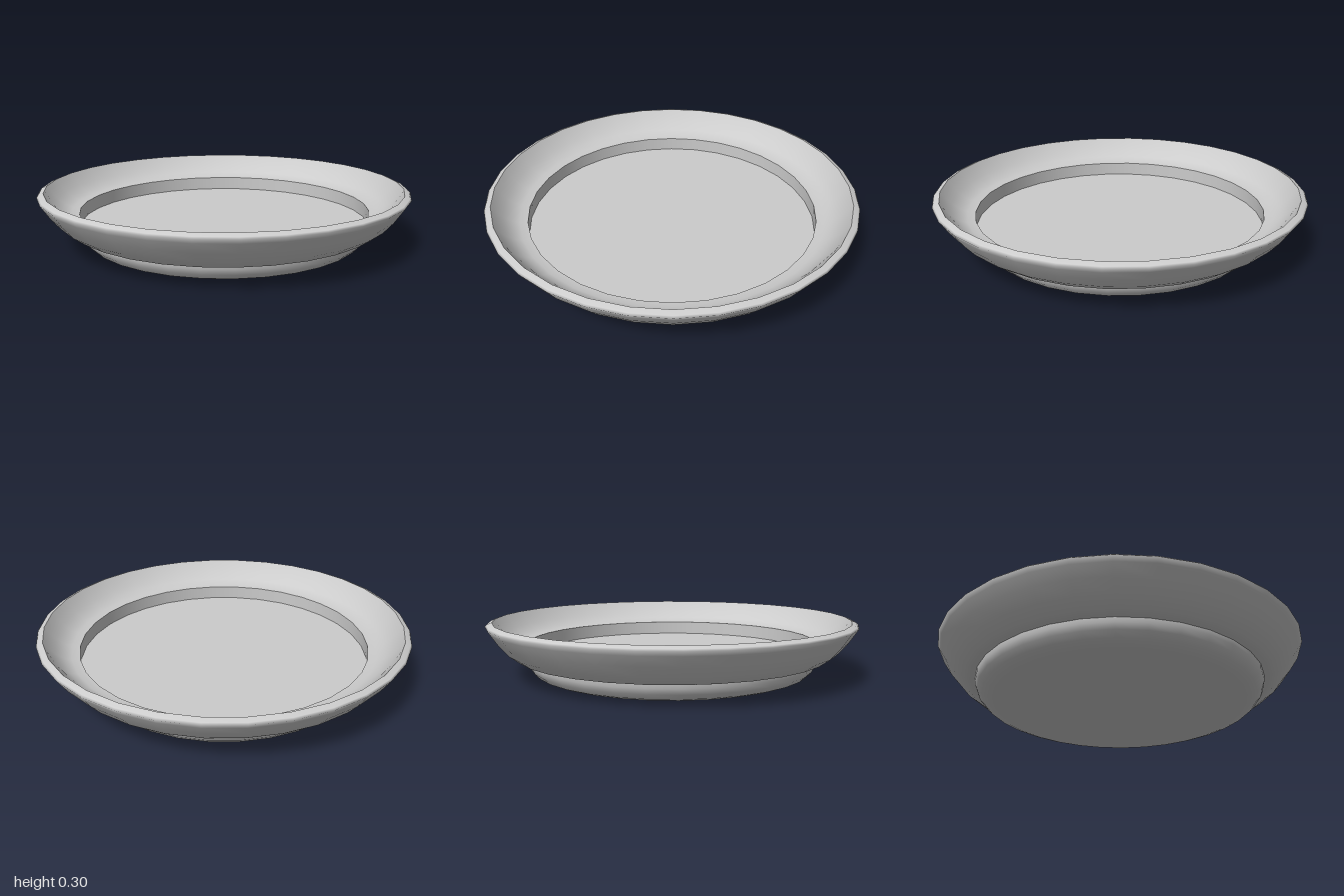
import * as THREE from 'three';

const SIDES = 32;

// Profiles run bottom centre -> outside -> rim -> inside -> floor centre,
// split wherever the surface has a sharp edge.
const profiles = {
  foot: [[0, 0], [0.68, 0], [0.705, 0.003], [0.745, 0.018], [0.772, 0.045], [0.785, 0.075], [0.787, 0.1]],
  bowlOutside: [[0.787, 0.1], [0.815, 0.1], [0.845, 0.107], [0.9, 0.147], [0.95, 0.205],
    [0.985, 0.257], [1, 0.28], [0.992, 0.289], [0.965, 0.3]],
  bowlInside: [[0.965, 0.3], [0.945, 0.272], [0.91, 0.23], [0.87, 0.197], [0.83, 0.18], [0.787, 0.176]],
  innerWall: [[0.787, 0.176], [0.787, 0.1]],
  floor: [[0.787, 0.1], [0, 0.1]],
};

export function createModel() {
  const dish = new THREE.Group();
  dish.name = 'dish';
  const material = new THREE.MeshStandardMaterial({ color: 0xcccccc, side: THREE.DoubleSide });

  for (const [name, points] of Object.entries(profiles)) {
    const profile = points.map(([r, y]) => new THREE.Vector2(r, y));
    const mesh = new THREE.Mesh(new THREE.LatheGeometry(profile, SIDES), material);
    mesh.name = name;
    dish.add(mesh);
  }
  return dish;
}
